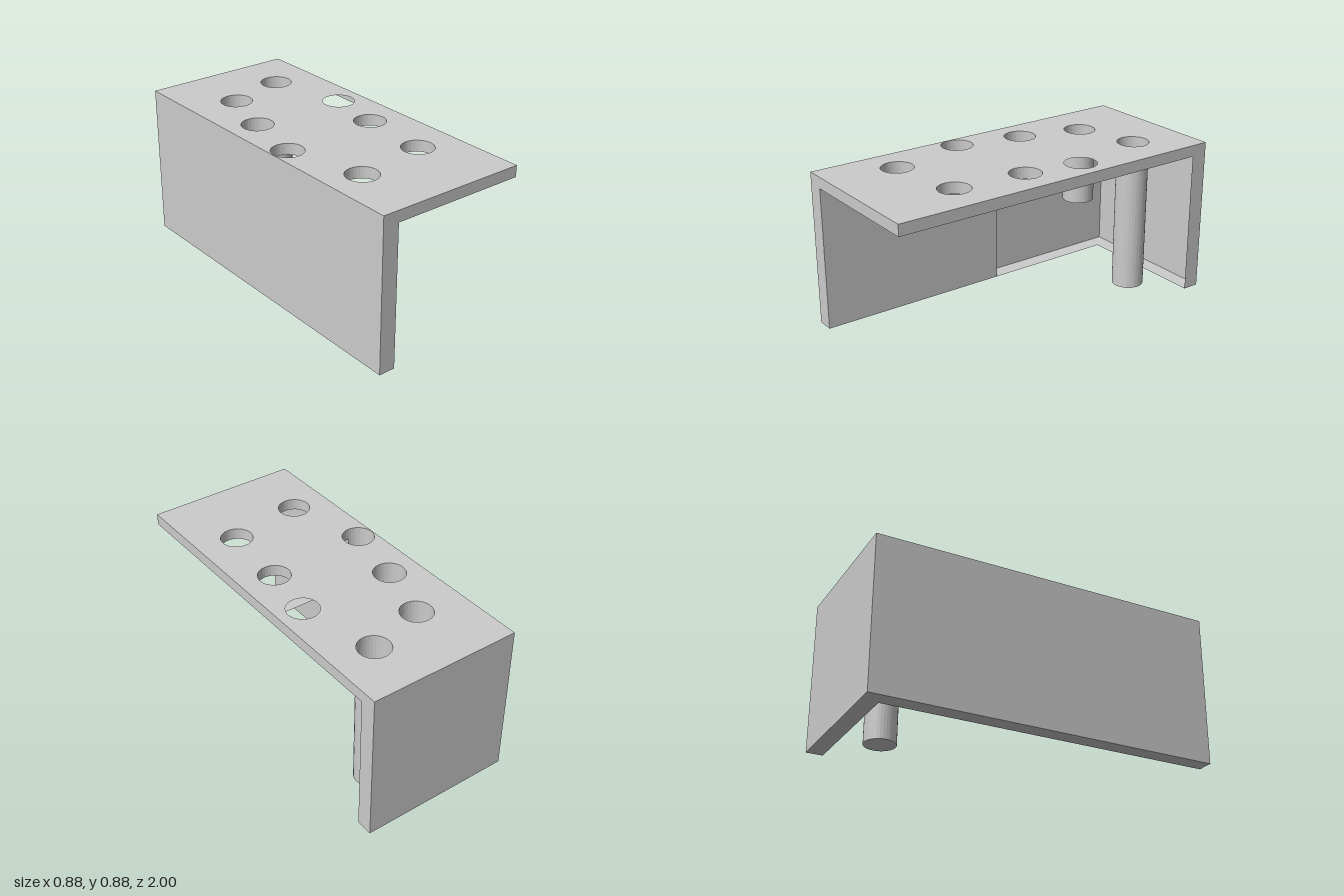
import * as THREE from 'three';

const W = 0.44, H = 0.88, D = 1;          // half width, height, half depth
const CEIL = 0.815, INNER = -0.345, BACK = -0.905, SEAM = -0.12;
const R = 0.09, SEG = 32;

export function createModel() {
  const group = new THREE.Group();
  const mat = new THREE.MeshStandardMaterial({ color: 0xcccccc, side: THREE.DoubleSide, flatShading: true });

  const add = (name, geo, x = 0, y = 0, z = 0) => {
    const mesh = new THREE.Mesh(geo, mat);
    mesh.name = name;
    mesh.position.set(x, y, z);
    group.add(mesh);
    return mesh;
  };
  const poly = (pts) => new THREE.Shape(pts.map(([a, b]) => new THREE.Vector2(a, b)));
  const rect = (a0, b0, a1, b1) => poly([[a0, b0], [a1, b0], [a1, b1], [a0, b1]]);
  const punch = (shape, holes) => {
    for (const [x, z] of holes) shape.holes.push(new THREE.Path().absarc(x, z, R, 0, Math.PI * 2, true));
    return shape;
  };
  const face = (shape) => new THREE.ShapeGeometry(shape, SEG / 2);
  // horizontal faces are drawn in (x, z), facing down
  const flat = (shape) => face(shape).rotateX(Math.PI / 2);
  const flatUp = (shape) => {
    const geo = flat(shape);
    geo.index.array.reverse();
    geo.attributes.normal.array.forEach((v, i, n) => { n[i] = -v; });
    return geo;
  };
  // faces towards +x are drawn in (-z, y)
  const side = (shape) => face(shape).rotateY(Math.PI / 2);
  const tube = (y0, y1, start = 0, len = Math.PI * 2) =>
    new THREE.CylinderGeometry(R, R, y1 - y0, Math.round(SEG * len / (Math.PI * 2)), 1, true, start, len)
      .translate(0, (y0 + y1) / 2, 0);

  // hole positions [x, z] and, for blind holes, the bottom height
  const through = [[0.24, 0.11], [0.205, 0.53], [-0.23, 0.6]];
  const blind = [[-0.16, -0.58, 0.457], [0.19, -0.68, 0.015], [-0.265, -0.23, 0.565]];
  const plainHole = [0.29, -0.22];
  const pocket = [INNER, 0.145], pocketY = 0.63;

  // outer skin
  add('topPlate', flatUp(punch(rect(-W, -D, W, D), [...through, ...blind, plainHole, pocket])), 0, H);
  add('outerSideWall', face(rect(-D, 0, D, H)).rotateY(-Math.PI / 2), -W);
  add('outerBackWall', face(rect(-W, 0, W, H)).rotateY(Math.PI), 0, 0, -D);

  // L-shaped rims closing the front, the open side and the bottom
  add('frontRim', face(poly([[-W, 0], [INNER, 0], [INNER, CEIL], [W, CEIL], [W, H], [-W, H]])), 0, 0, D);
  add('sideRim', side(poly([[-D, CEIL], [-BACK, CEIL], [-BACK, 0], [D, 0], [D, H], [-D, H]])), W);
  add('bottomRim', flat(poly([[-W, -D], [W, -D], [W, BACK], [INNER, BACK], [INNER, D], [-W, D]])));

  // inner skin, front part only
  const ceiling = poly([[INNER, SEAM], [W, SEAM], [W, D], [INNER, D], [INNER, pocket[1] + R]]);
  ceiling.absarc(INNER, pocket[1], R, Math.PI / 2, -Math.PI / 2, true);
  add('ceiling', flat(punch(ceiling, through)), 0, CEIL);
  const p0 = -pocket[1] - R, p1 = -pocket[1] + R;
  add('innerSideWall', side(poly([
    [-D, 0], [-SEAM, 0], [-SEAM, CEIL], [p1, CEIL], [p1, pocketY], [p0, pocketY], [p0, CEIL], [-D, CEIL],
  ])), INNER);

  // through holes
  for (const [x, z] of through) add('throughHole', tube(CEIL, H), x, 0, z);

  // blind holes, hanging as closed tubes
  for (const [x, z, y] of blind) {
    add('blindTube', tube(y, H), x, 0, z);
    add('tubeBottom', new THREE.CircleGeometry(R, SEG).rotateX(Math.PI / 2), x, y, z);
  }

  // pocket half sunk into the side wall
  add('pocketWall', tube(pocketY, H, Math.PI, Math.PI), pocket[0], 0, pocket[1]);
  add('pocketLip', tube(CEIL, H, 0, Math.PI), pocket[0], 0, pocket[1]);
  add('pocketFloor', new THREE.CircleGeometry(R, SEG / 2, Math.PI / 2, Math.PI).rotateX(-Math.PI / 2),
    pocket[0], pocketY, pocket[1]);

  return group;
}
